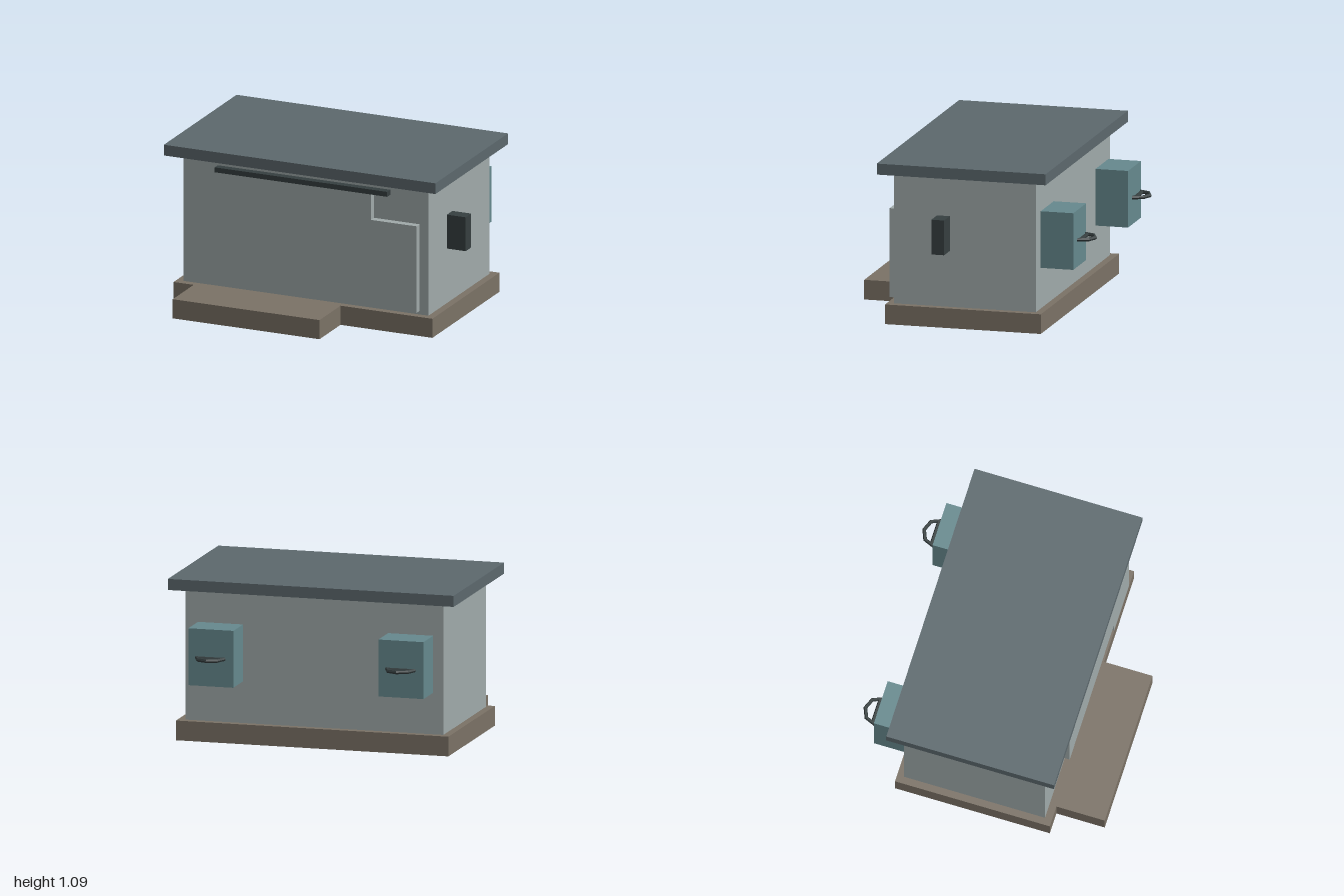
import * as THREE from 'three';

const mat = (color) => new THREE.MeshStandardMaterial({ color, flatShading: true });

export function createModel() {
  const model = new THREE.Group();
  model.name = 'utilityHut';
  const concrete = mat(0x7b7266);
  const wall = mat(0xa0aaaa);
  const slate = mat(0x5c686d);
  const teal = mat(0x66898e);
  const dark = mat(0x363f40);

  // Box given by its extents along each axis
  const box = (name, [x0, x1], [y0, y1], [z0, z1], material, parent = model) => {
    const mesh = new THREE.Mesh(new THREE.BoxGeometry(x1 - x0, y1 - y0, z1 - z0), material);
    mesh.position.set((x0 + x1) / 2, (y0 + y1) / 2, (z0 + z1) / 2);
    mesh.name = name;
    parent.add(mesh);
    return mesh;
  };

  // Foundation and front step
  box('foundation', [-0.95, 0.915], [0, 0.132], [-0.545, 0.518], concrete);
  box('frontStep', [-0.805, 0.253], [0, 0.132], [0.518, 0.85], concrete);

  // Walls and flat roof
  box('walls', [-0.902, 0.865], [0.132, 1.012], [-0.497, 0.47], wall);
  box('roof', [-1, 0.957], [1.012, 1.086], [-0.59, 0.562], slate);

  // Stepped sliding door panel
  const outline = [
    [-0.513, 0.268], [0.472, 0.268], [0.472, 0.157], [0.802, 0.157],
    [0.802, 0.755], [0.472, 0.755], [0.472, 0.938], [-0.513, 0.938],
  ].map(([x, y]) => new THREE.Vector2(x, y));
  const door = new THREE.Mesh(
    new THREE.ExtrudeGeometry(new THREE.Shape(outline), { depth: 0.05, bevelEnabled: false }), wall);
  door.position.z = 0.469;
  door.name = 'doorPanel';
  model.add(door);

  // Door rail and side control box
  box('doorRail', [-0.643, 0.6], [0.938, 0.972], [0.491, 0.541], dark);
  box('sideControlBox', [0.865, 1], [0.508, 0.742], [0.09, 0.177], dark);

  // Rear cabinets, each with a bow handle and crossbar
  for (const x of [-0.68, 0.622]) {
    const cabinet = new THREE.Group();
    cabinet.name = 'rearCabinet';
    cabinet.position.x = x;
    box('cabinetBody', [-0.154, 0.154], [0.412, 0.793], [-0.727, -0.505], teal, cabinet);

    const bow = new THREE.Mesh(new THREE.TorusGeometry(0.093, 0.013, 6, 4, Math.PI), dark);
    bow.rotation.x = -Math.PI / 2;
    bow.position.set(0, 0.602, -0.739);
    bow.name = 'handleBow';

    const bar = new THREE.Mesh(new THREE.CylinderGeometry(0.013, 0.013, 0.172, 6), dark);
    bar.rotation.z = Math.PI / 2;
    bar.position.set(0, 0.602, -0.755);
    bar.name = 'handleBar';
    cabinet.add(bow, bar);
    model.add(cabinet);
  }
  return model;
}
